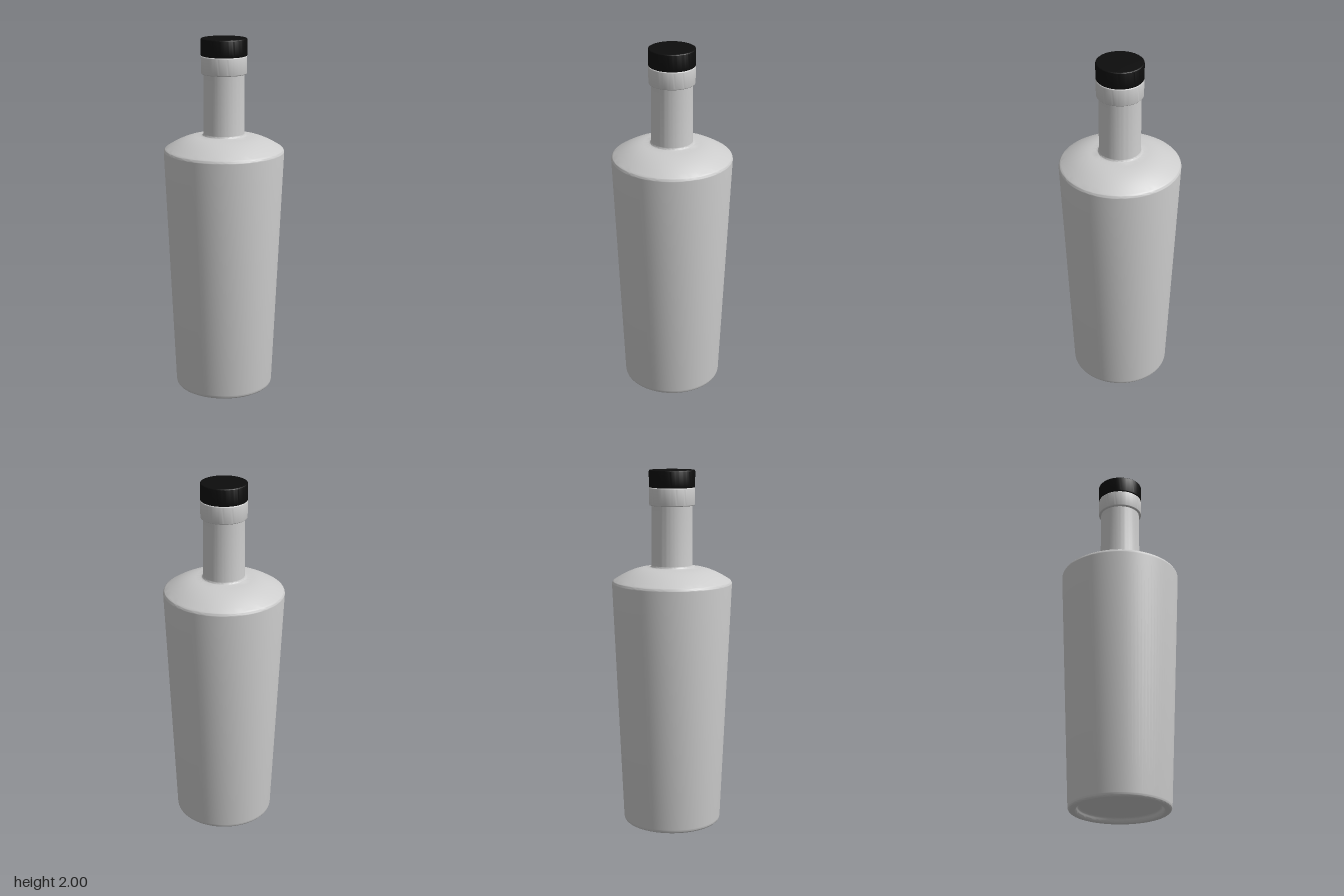
import * as THREE from 'three';
import { toCreasedNormals } from 'three/addons/utils/BufferGeometryUtils.js';

const glass = new THREE.MeshStandardMaterial({ color: 0xcccccc });
const black = new THREE.MeshStandardMaterial({ color: 0x0d0d0d });

// Revolves an outline (ordered bottom to top) and keeps hard edges sharp
function turned(name, path, material, curveSteps = 8) {
  const geometry = new THREE.LatheGeometry(path.getPoints(curveSteps), 96);
  const mesh = new THREE.Mesh(toCreasedNormals(geometry, 0.6), material);
  mesh.name = name;
  return mesh;
}

// Solid ring-shaped outline with small rounded outer edges
function roundedDisc(radius, y0, y1, bevel) {
  const p = new THREE.Path();
  p.moveTo(0, y0);
  p.lineTo(radius - bevel, y0);
  p.quadraticCurveTo(radius, y0, radius, y0 + bevel);
  p.lineTo(radius, y1 - bevel);
  p.quadraticCurveTo(radius, y1, radius - bevel, y1);
  p.lineTo(0, y1);
  return p;
}

export function createModel() {
  const bottle = new THREE.Group();
  bottle.name = 'bottle';

  // Body: recessed base, flared wall, domed shoulder and neck
  const p = new THREE.Path();
  p.moveTo(0, 0.027);
  p.lineTo(0.215, 0.027);
  p.bezierCurveTo(0.228, 0.027, 0.228, 0, 0.243, 0);
  p.lineTo(0.258, 0);
  p.quadraticCurveTo(0.276, 0, 0.277, 0.022);
  p.lineTo(0.334, 1.373);
  p.quadraticCurveTo(0.335, 1.389, 0.32, 1.397);
  p.bezierCurveTo(0.26, 1.435, 0.205, 1.462, 0.13, 1.466);
  p.quadraticCurveTo(0.115, 1.467, 0.114, 1.48);
  p.lineTo(0.112, 1.82);
  bottle.add(turned('body', p, glass));

  // Collar around the mouth, and the stopper above it
  bottle.add(turned('collar', roundedDisc(0.126, 1.807, 1.905, 0.008), glass, 5));
  bottle.add(turned('cap', roundedDisc(0.127, 1.905, 2, 0.008), black, 5));

  return bottle;
}
